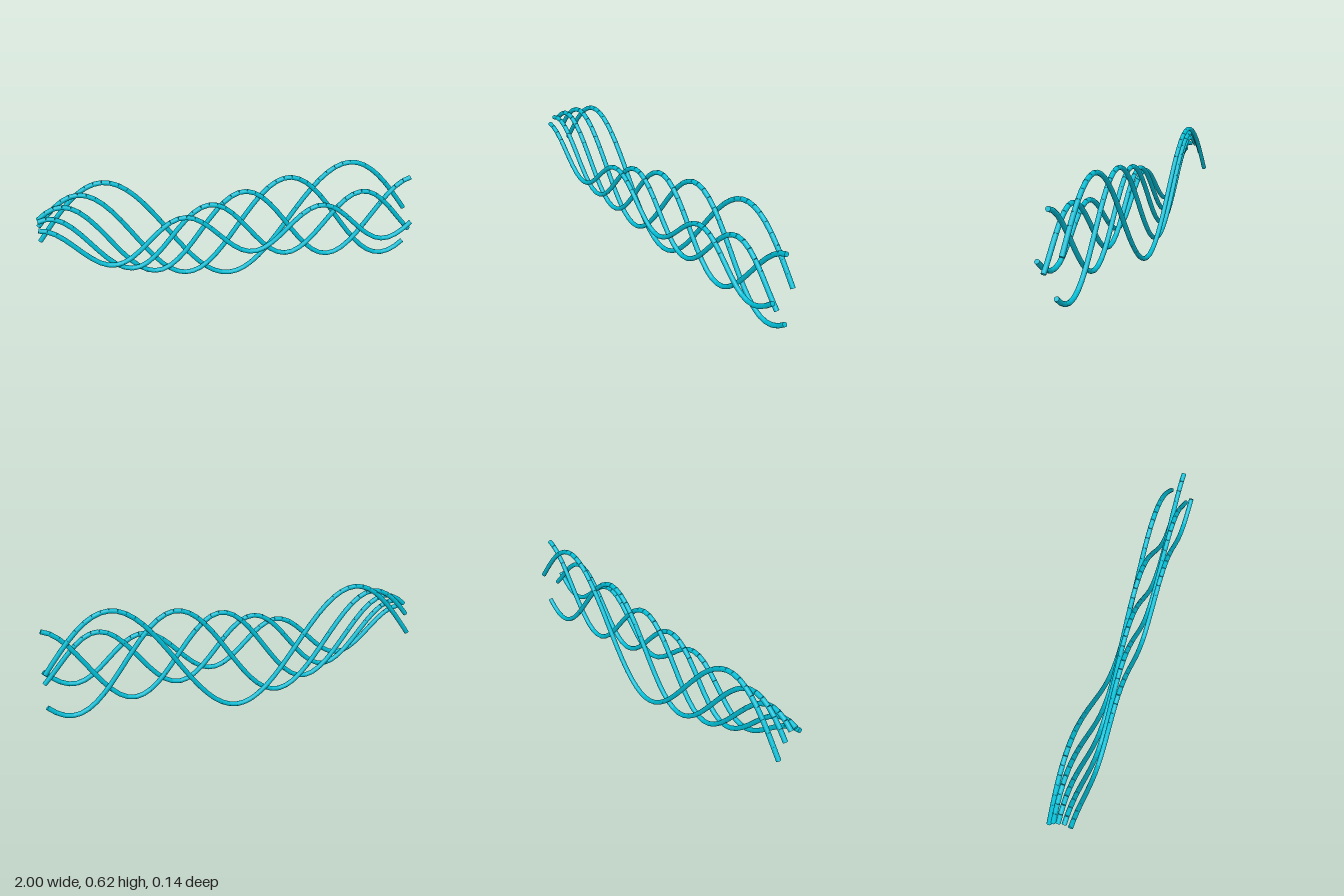
import * as THREE from 'three';
import { mergeGeometries } from 'three/addons/utils/BufferGeometryUtils.js';

const STRANDS = 5, SEGMENTS = 48, HALF = 0.99, RADIUS = 0.0125, MID = 0.31;
const UP = new THREE.Vector3(0, 1, 0);

// Straight rod between two points
function rod(a, b) {
  const dir = b.clone().sub(a);
  const geo = new THREE.CylinderGeometry(RADIUS, RADIUS, dir.length(), 12);
  geo.applyQuaternion(new THREE.Quaternion().setFromUnitVectors(UP, dir.normalize()));
  const mid = a.clone().add(b).multiplyScalar(0.5);
  return geo.translate(mid.x, mid.y, mid.z);
}

// Sine wave strand: further forward means lower amplitude and higher frequency
function strand(i) {
  const amplitude = 0.2975 - 0.045 * i;
  const cycles = 1.5 + 0.3 * i;
  const phase = 0.4 * i;
  const z = -0.06 + 0.03 * i;
  const points = [];
  for (let k = 0; k <= SEGMENTS; k++) {
    const t = k / SEGMENTS;
    const y = MID + amplitude * Math.sin(2 * Math.PI * cycles * t + phase);
    points.push(new THREE.Vector3(-HALF + 2 * HALF * t, y, z));
  }
  return mergeGeometries(points.slice(1).map((p, k) => rod(points[k], p)));
}

export function createModel() {
  const group = new THREE.Group();
  group.name = 'waveStrands';
  const material = new THREE.MeshStandardMaterial({ color: 0x00bcd4 });
  for (let i = 0; i < STRANDS; i++) {
    const mesh = new THREE.Mesh(strand(i), material);
    mesh.name = `waveStrand${i + 1}`;
    group.add(mesh);
  }
  return group;
}
